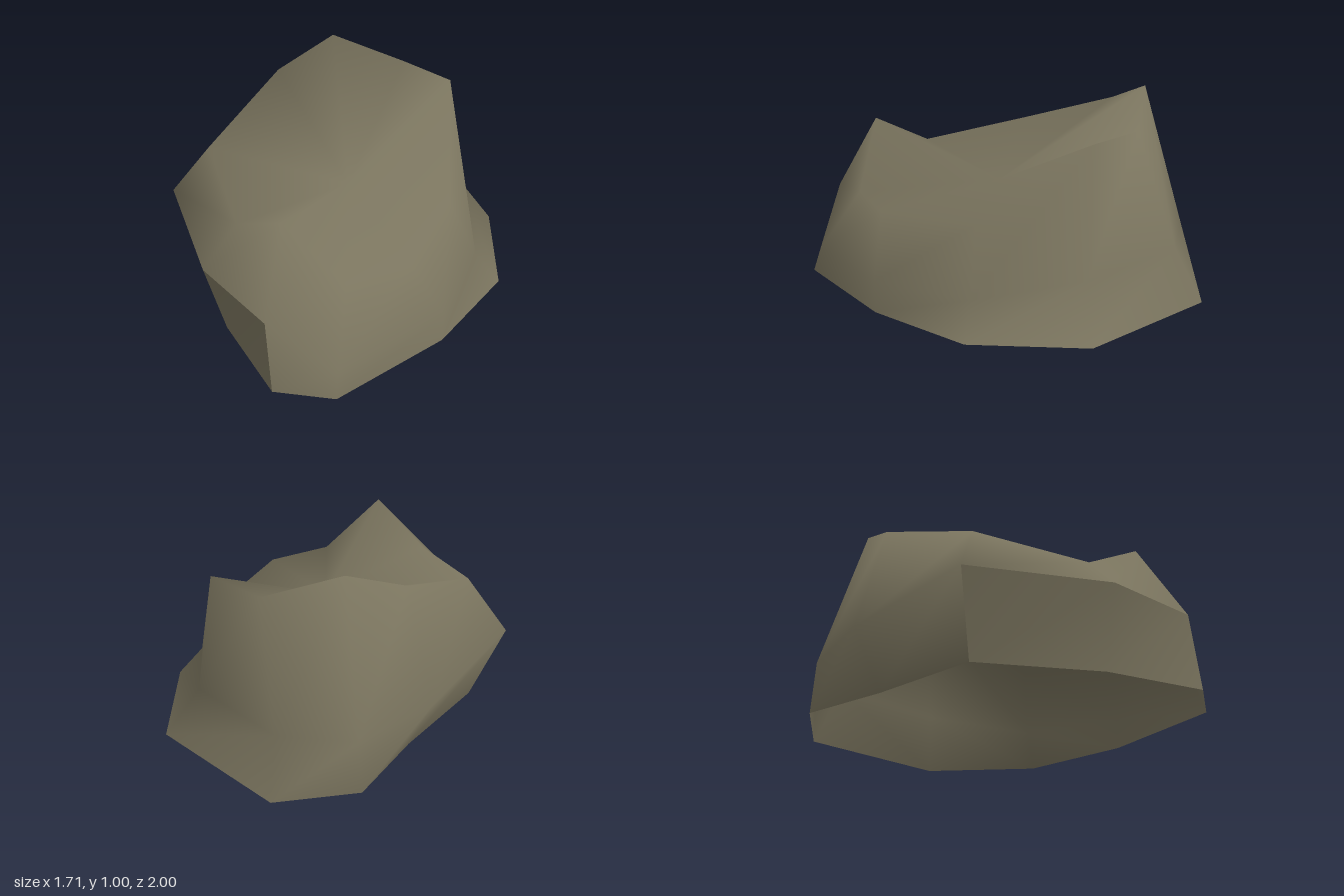
import * as THREE from 'three';

// Ten-sided cross-sections of the boulder, from the open base up to the rim of the hollow top
const RINGS = [
  [[0.85, 0, 0.02], [0.6, 0, 0.52], [0.16, 0, 1], [-0.14, 0, 1], [-0.45, 0, 0.6],
    [-0.69, 0, 0.03], [-0.42, 0, -0.46], [-0.24, 0, -0.87], [0.16, 0, -1], [0.77, 0, -0.55]],
  [[0.72, 0.16, 0.02], [0.6, 0.16, 0.52], [0.16, 0.12, 0.96], [-0.17, 0.37, 0.96], [-0.53, 0.395, 0.66],
    [-0.855, 0.39, 0.03], [-0.53, 0.3, -0.56], [-0.22, 0.27, -0.86], [0.16, 0.27, -0.86], [0.6, 0.25, -0.5]],
  [[0.57, 0.47, 0.03], [0.43, 0.45, 0.53], [0.16, 0.45, 0.73], [-0.13, 0.76, 0.73], [-0.39, 0.585, 0.53],
    [-0.65, 0.67, 0.03], [-0.39, 0.87, -0.47], [-0.13, 1, -0.66], [0.25, 0.87, -0.67], [0.51, 0.87, -0.5]],
];
const HOLLOW = [0.06, 0.53, 0.03];
const SIDES = 10;

function makeSurface(name, index, material) {
  const geometry = new THREE.BufferGeometry();
  const points = [...RINGS.flat(), HOLLOW].flat();
  geometry.setAttribute('position', new THREE.Float32BufferAttribute(points, 3));
  geometry.setIndex(index);
  geometry.computeVertexNormals();
  const mesh = new THREE.Mesh(geometry, material);
  mesh.name = name;
  return mesh;
}

export function createModel() {
  const stone = new THREE.MeshStandardMaterial({ color: 0x7a745e, side: THREE.DoubleSide });
  stone.name = 'stone';

  const shell = [];
  const undercut = [];
  for (let i = 0; i < SIDES; i++) {
    const j = (i + 1) % SIDES;
    for (let r = 0; r < 2; r++) {
      const a = r * SIDES + i, b = r * SIDES + j;
      // The overhanging front corner has its own sharp border
      const target = r === 0 && (i === 3 || i === 4) ? undercut : shell;
      target.push(a, a + SIDES, b, b, a + SIDES, b + SIDES);
    }
    // Sunken top
    shell.push(2 * SIDES + i, 3 * SIDES, 2 * SIDES + j);
  }

  const group = new THREE.Group();
  group.name = 'boulder';
  group.add(makeSurface('boulderShell', shell, stone));
  group.add(makeSurface('undercutFace', undercut, stone));
  return group;
}
